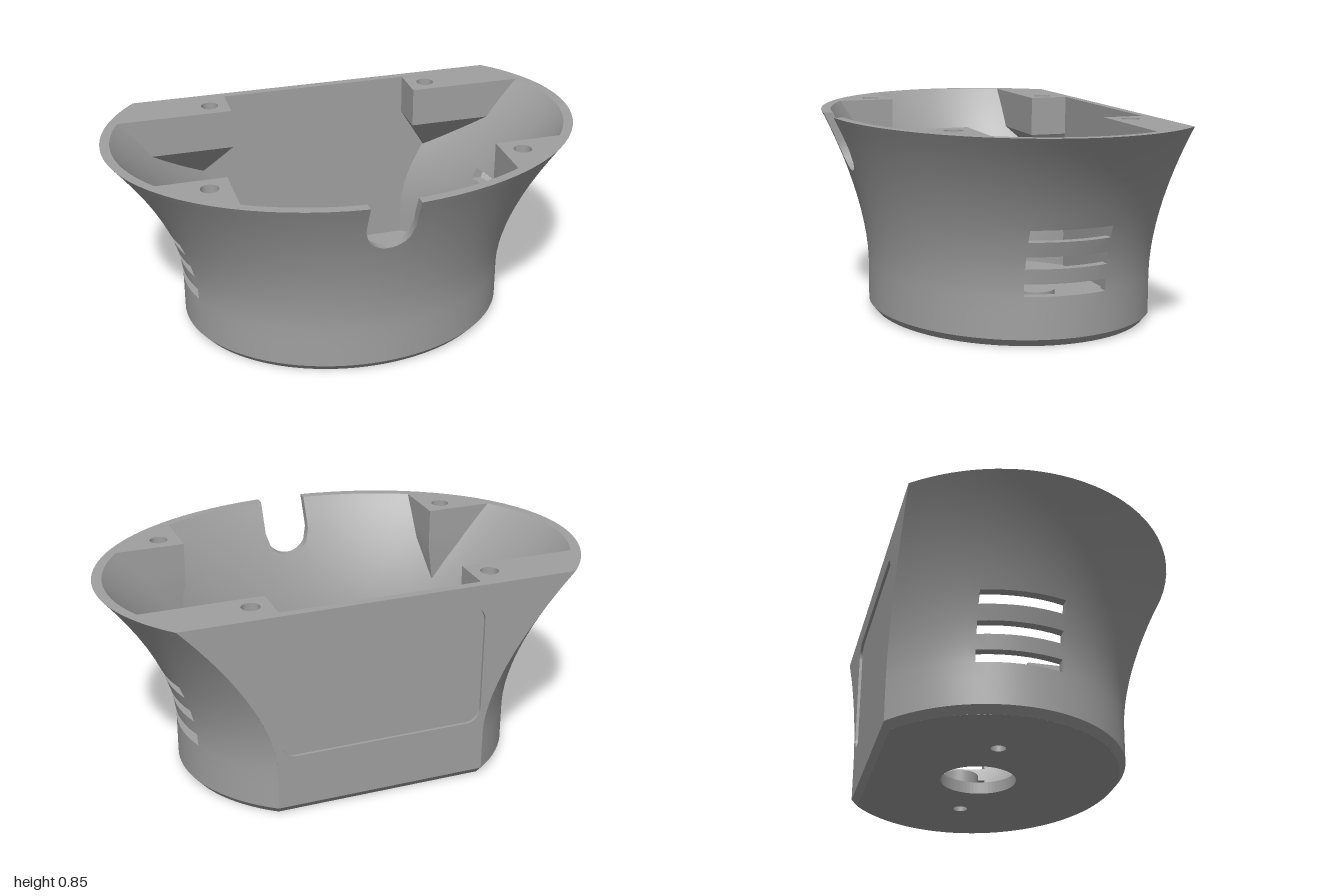
import * as THREE from 'three';
import { toCreasedNormals } from 'three/addons/utils/BufferGeometryUtils.js';

const H = 0.845, CZ = -0.16, WALL = 0.04, BACK = -0.62, BACK_IN = -0.585, FLOOR = 0.05;
const NOTCH_R = 0.1, NOTCH_Y = 0.715;
const V = (x, y, z) => new THREE.Vector3(x, y, z);

// half width and half depth of the flared body at height y
const flare = (y) => Math.max(0, (y - 0.2) / (H - 0.2));
const chamfer = (y) => Math.max(0, 0.03 - y) * 0.83;
const halfW = (y) => 0.695 + 0.305 * flare(y) ** 1.8 - chamfer(y);
const halfD = (y) => 0.59 + 0.185 * flare(y) ** 1.7 - chamfer(y);
const backZ = (y) => BACK + chamfer(y);
const backX = (y) => halfW(y) * Math.sqrt(1 - ((backZ(y) - CZ) / halfD(y)) ** 2);

// collects triangles, turning each face towards a hint direction
class Faces {
  constructor() { this.p = []; }
  tri(a, b, c, n) {
    const m = b.clone().sub(a).cross(c.clone().sub(a));
    if (m.lengthSq() < 1e-16) return;
    for (const v of m.dot(n) < 0 ? [a, c, b] : [a, b, c]) this.p.push(v.x, v.y, v.z);
  }
  quad(a, b, c, d, n) { this.tri(a, b, c, n); this.tri(a, c, d, n); }
  build(crease = 0.5) {
    const g = new THREE.BufferGeometry();
    g.setAttribute('position', new THREE.Float32BufferAttribute(this.p, 3));
    return toCreasedNormals(g, crease);
  }
}

// columns of one half: notch, front wall, vent slots, rear wall
const COLS = [];
[6, 16, 8, 10].forEach((n, seg) => {
  for (let i = 0; i < n; i++) COLS.push({ seg, f0: i / n, f1: (i + 1) / n });
});

function wallPoint(s, seg, f, y, inner) {
  const t = inner ? WALL : 0, A = halfW(y) - t, B = halfD(y) - t;
  const zb = inner ? BACK_IN : backZ(y);
  const stops = [Math.PI / 2, Math.acos(NOTCH_R / A), Math.asin((0.01 - CZ) / B),
    Math.asin((-0.325 - CZ) / B), Math.asin((zb - CZ) / B)];
  const q = seg === 0 ? Math.acos(NOTCH_R * f / A)
    : THREE.MathUtils.lerp(stops[seg], stops[seg + 1], f);
  return V(s * A * Math.cos(q), y, CZ + B * Math.sin(q));
}

function shellGeometry() {
  const F = new Faces();
  const mid = [0.12, 0.2, 0.25, 0.31, 0.36, 0.42, 0.47, 0.53, 0.6, 0.66, NOTCH_Y, 0.76, 0.8, H];
  const slots = [0.2, 0.31, 0.42];
  const up = V(0, 1, 0), down = V(0, -1, 0);
  // height of a row, bent down to the round notch bottom
  const rowY = (seg, f, y) => {
    if (seg || y <= 0.6) return y;
    const yb = NOTCH_Y - NOTCH_R * Math.sqrt(Math.max(0, 1 - f * f));
    return 0.6 + (yb - 0.6) * Math.min(1, (y - 0.6) / (NOTCH_Y - 0.6));
  };
  for (const s of [1, -1]) {
    for (const { seg, f0, f1 } of COLS) {
      const at = (f, y, inner) => wallPoint(s, seg, f, rowY(seg, f, y), inner);
      for (const inner of [false, true]) {
        const rows = inner ? [FLOOR, ...mid] : [0, 0.03, ...mid];
        for (let r = 0; r + 1 < rows.length; r++) {
          const y0 = rows[r], y1 = rows[r + 1];
          if (seg === 2 && slots.includes(y0)) continue;
          if (seg === 0 && y0 >= NOTCH_Y) continue;
          const a = at(f0, y0, inner);
          const n = V(a.x, 0, a.z - CZ).multiplyScalar(inner ? -1 : 1);
          F.quad(a, at(f1, y0, inner), at(f1, y1, inner), at(f0, y1, inner), n);
        }
      }
      // rim, or bottom of the notch
      const across = (y, n) => F.quad(at(f0, y), at(f1, y), at(f1, y, true), at(f0, y, true), n);
      across(H, up);
      // vent slot sills, tops and ends
      if (seg === 2) for (const y of slots) {
        across(y, up);
        across(y + 0.05, down);
        for (const [f, dir] of [[0, -1], [1, 1]]) {
          if (f === 0 ? f0 !== 0 : f1 !== 1) continue;
          F.quad(at(f, y), at(f, y + 0.05), at(f, y + 0.05, true), at(f, y, true), V(0, 0, dir));
        }
      }
    }
    // straight side of the cable notch
    const e = (y, inner) => wallPoint(s, 1, 0, y, inner);
    for (const [y0, y1] of [[NOTCH_Y, 0.76], [0.76, 0.8], [0.8, H]])
      F.quad(e(y0), e(y1), e(y1, true), e(y0, true), V(-s, 0, 0));
  }
  // chamfer under the flat back
  const c = (s, y) => V(s * backX(y), y, backZ(y));
  F.quad(c(1, 0), c(-1, 0), c(-1, 0.03), c(1, 0.03), V(0, -1, -1));
  return F.build();
}

const circle = (x, y, r) => new THREE.Path().absarc(x, y, r, 0, Math.PI * 2, true);

function floorGeometry() {
  const pts = [], q0 = Math.asin((backZ(0) - CZ) / halfD(0));
  for (let i = 0; i <= 72; i++) {
    const q = q0 + (Math.PI - 2 * q0) * i / 72;
    pts.push(new THREE.Vector2(halfW(0) * Math.cos(q), -CZ - halfD(0) * Math.sin(q)));
  }
  const shape = new THREE.Shape(pts);
  shape.holes.push(circle(0, -CZ, 0.155), circle(0.35, -CZ, 0.03), circle(-0.35, -CZ, 0.03));
  return new THREE.ExtrudeGeometry(shape, { depth: FLOOR, bevelEnabled: false, curveSegments: 32 })
    .rotateX(-Math.PI / 2);
}

// outline of the flat back, following the flare
function backOutline() {
  const right = [], left = [];
  for (let i = 0; i <= 20; i++) {
    const y = 0.03 + (H - 0.03) * i / 20;
    right.push(new THREE.Vector2(backX(y), y));
    left.unshift(new THREE.Vector2(-backX(y), y));
  }
  return new THREE.Shape([...right, ...left]);
}

function roundedWindow(w, y0, y1, r) {
  const p = new THREE.Path();
  p.absarc(w - r, y0 + r, r, -Math.PI / 2, 0);
  p.absarc(w - r, y1 - r, r, 0, Math.PI / 2);
  p.absarc(-w + r, y1 - r, r, Math.PI / 2, Math.PI);
  p.absarc(-w + r, y0 + r, r, Math.PI, Math.PI * 1.5);
  return p;
}

// screw post: straight block along the wall, tapering to a point below
function postGeometry(s, corner, rear, apex) {
  const F = new Faces(), low = H - 0.17;
  const ring = (y) => {
    const A = halfW(y) - 0.02, B = halfD(y) - 0.02;
    const q0 = Math.asin((corner[1] - CZ) / B);
    const q1 = rear ? Math.asin((-0.6 - CZ) / B) : Math.acos(corner[0] / A);
    const pts = [V(s * corner[0], y, corner[1])];
    for (let i = 0; i <= 8; i++) {
      const q = q0 + (q1 - q0) * i / 8;
      pts.push(V(s * A * Math.cos(q), y, CZ + B * Math.sin(q)));
    }
    if (rear) pts.push(V(s * corner[0], y, -0.6));
    return pts;
  };
  const rings = [H, H - 0.06, H - 0.12, low].map(ring), tip = V(s * apex[0], apex[1], apex[2]);
  const n = rings[0].length;
  const mid = rings[3].reduce((m, p) => m.add(p), V(0, 0, 0)).divideScalar(n);
  for (let i = 0; i < n; i++) {
    const j = (i + 1) % n;
    for (let r = 0; r < 3; r++) {
      const out = rings[r][i].clone().add(rings[r][j]).multiplyScalar(0.5).sub(mid).setY(0);
      F.quad(rings[r][i], rings[r][j], rings[r + 1][j], rings[r + 1][i], out);
    }
    const out = rings[3][i].clone().add(rings[3][j]).multiplyScalar(0.5).sub(mid);
    F.tri(rings[3][i], rings[3][j], tip, out.setY(-0.05));
  }
  return { sides: F.build(0.4), top: rings[0] };
}

export function createModel() {
  const model = new THREE.Group();
  const grey = new THREE.MeshStandardMaterial({ color: 0xa0a0a0, side: THREE.DoubleSide });
  grey.name = 'plain grey';
  const add = (name, geometry, x = 0, y = 0, z = 0) => {
    const mesh = new THREE.Mesh(geometry, grey);
    mesh.name = name;
    mesh.position.set(x, y, z);
    model.add(mesh);
  };

  add('shell', shellGeometry());
  add('floor', floorGeometry());

  // flat back: a solid plate behind a frame that forms the shallow recess
  const frame = backOutline();
  frame.holes.push(roundedWindow(0.42, 0.25, 0.755, 0.06));
  const flat = (shape, depth) => new THREE.ExtrudeGeometry(shape, { depth, bevelEnabled: false });
  add('backFrame', flat(frame, 0.012), 0, 0, BACK);
  add('backPlate', flat(backOutline(), 0.023), 0, 0, BACK + 0.012);

  const holeProfile = [[0.037, 0], [0.037, -0.12], [0, -0.12]].map((p) => new THREE.Vector2(...p));
  for (const s of [1, -1]) {
    const side = s > 0 ? 'left' : 'right';
    add(side + 'FloorBoss', new THREE.CylinderGeometry(0.075, 0.075, 0.1, 32), s * 0.35, 0.1, CZ);
    for (const [name, corner, rear, apex, hole] of [
      ['RearPost', [0.41, -0.42], true, [0.53, 0.48, -0.6], [0.49, -0.5]],
      ['FrontPost', [0.555, 0.2], false, [0.587, 0.48, 0.216], [0.64, 0.28]],
    ]) {
      const post = postGeometry(s, corner, rear, apex);
      add(side + name, post.sides);
      // drilled top and blind screw hole
      const top = new THREE.Shape(post.top.map((p) => new THREE.Vector2(p.x, -p.z)));
      top.holes.push(circle(s * hole[0], -hole[1], 0.037));
      add(side + name + 'Top', new THREE.ShapeGeometry(top, 24).rotateX(-Math.PI / 2), 0, H, 0);
      add(side + name + 'Hole', toCreasedNormals(new THREE.LatheGeometry(holeProfile, 24), 0.5),
        s * hole[0], H, hole[1]);
    }
  }
  return model;
}
